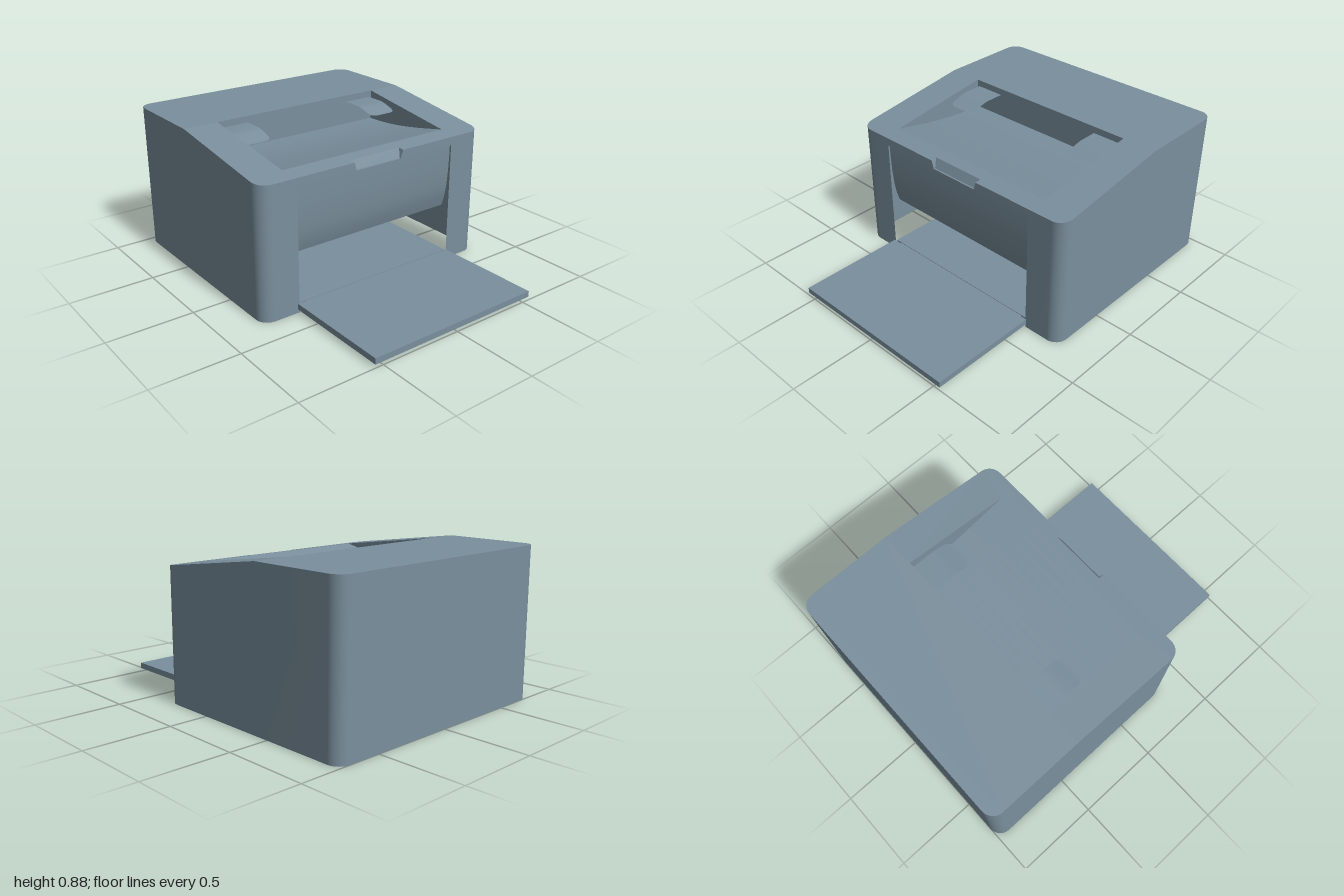
import * as THREE from 'three';

const W = 0.77, BACK = -1, FRONT = 0.345, R = 0.075;   // body footprint
const RIDGE = -0.42;                                   // where the roof starts to slope
const OPEN_X = 0.54, OPEN_Y = 0.73;                    // front opening
const REC_X = 0.56, REC_FRONT = 0.24;                  // recess in the roof
const GRIP_TOP = 0.17, GRIP_LOW = 0.155, GRIP_Z = 0.31;
const roofY = z => z <= RIDGE ? 0.885 : 0.885 - 0.107 * (z - RIDGE) / (FRONT - RIDGE);
const V = (x, y, z) => new THREE.Vector3(x, y, z);

export function createModel() {
  const group = new THREE.Group();
  const mat = new THREE.MeshStandardMaterial({ color: 0x7a8f9d, side: THREE.DoubleSide });

  function add(name, geo) {
    const mesh = new THREE.Mesh(geo, mat);
    mesh.name = name;
    group.add(mesh);
    return mesh;
  }

  // surface spanned between two polylines of equal length
  function strip(name, a, b) {
    const pos = [], idx = [];
    a.forEach((p, i) => {
      pos.push(p.x, p.y, p.z, b[i].x, b[i].y, b[i].z);
      if (i) { const k = 2 * i; idx.push(k - 2, k, k - 1, k, k + 1, k - 1); }
    });
    const geo = new THREE.BufferGeometry();
    geo.setAttribute('position', new THREE.Float32BufferAttribute(pos, 3));
    geo.setIndex(idx);
    geo.computeVertexNormals();
    return add(name, geo);
  }

  // [z, y] profile swept across x from -w to w
  const sheet = (name, profile, w) => strip(name,
    profile.map(([z, y]) => V(-w, y, z)), profile.map(([z, y]) => V(w, y, z)));

  const box = (name, x0, x1, y0, y1, z0, z1) => {
    const geo = new THREE.BoxGeometry(x1 - x0, y1 - y0, z1 - z0);
    geo.translate((x0 + x1) / 2, (y0 + y1) / 2, (z0 + z1) / 2);
    return add(name, geo);
  };

  // rounded corner as [x, z] points; angle measured from +x towards +z
  const corner = (cx, cz, from, to) => Array.from({ length: 9 }, (_, i) => {
    const t = from + (to - from) * i / 8;
    return [cx + R * Math.cos(t), cz + R * Math.sin(t)];
  });
  const H = Math.PI / 2;
  const frontRightCorner = corner(W - R, FRONT - R, H, 0);
  const backRightCorner = corner(W - R, BACK + R, 0, -H);
  const mirror = pts => pts.map(([x, z]) => [-x, z]).reverse();

  // outer shell, open below and at the front opening
  const half = [[OPEN_X, FRONT], ...frontRightCorner, [W, RIDGE], ...backRightCorner];
  const outline = [...half, ...mirror(half)];
  strip('bodyWalls', outline.map(([x, z]) => V(x, roofY(z), z)), outline.map(([x, z]) => V(x, 0, z)));

  // roof panels laid over the slope rule
  function roof(name, pts) {
    const geo = new THREE.ShapeGeometry(new THREE.Shape(pts.map(([x, z]) => new THREE.Vector2(x, -z))));
    const p = geo.attributes.position;
    for (let i = 0; i < p.count; i++) {
      const z = -p.getY(i);
      p.setXYZ(i, p.getX(i), roofY(z), z);
    }
    geo.computeVertexNormals();
    add(name, geo);
  }
  roof('flatRoof', [[W, RIDGE], ...backRightCorner, ...mirror(backRightCorner), [-W, RIDGE]]);
  const slopeHalf = [[GRIP_TOP, GRIP_Z], [GRIP_TOP, FRONT], ...frontRightCorner,
    [W, RIDGE], [REC_X, RIDGE], [REC_X, REC_FRONT]];
  roof('slopedRoof', [...slopeHalf, ...mirror(slopeHalf)]);

  // dished output recess in the roof
  const dish = Array.from({ length: 13 }, (_, i) => {
    const t = i / 12;
    return [REC_FRONT + (RIDGE - REC_FRONT) * t, roofY(REC_FRONT) - 0.09 * Math.sin(t * H)];
  });
  sheet('recessFloor', dish, REC_X);
  sheet('recessBackWall', [[RIDGE, 0.885], dish[12]], REC_X);

  for (const s of [-1, 1]) {
    strip('recessSideWall', dish.map(([z]) => V(s * REC_X, roofY(z), z)),
      dish.map(([z, y]) => V(s * REC_X, y, z)));

    // paper guide flap with rounded free corners
    const flap = [[RIDGE, 0.845, 0], [-0.30, 0.845, 0], [-0.26, 0.838, 0], [-0.20, 0.82, 0],
      [-0.18, 0.814, 0.006], [-0.167, 0.811, 0.018], [-0.16, 0.81, 0.035]];
    strip('paperFlap', flap.map(([z, y, r]) => V(s * 0.545 - s * r, y, z)),
      flap.map(([z, y, r]) => V(s * 0.36 + s * r, y, z)));

    // front strip above the opening, beside the finger grip
    strip('frontStrip',
      [V(s * GRIP_TOP, roofY(FRONT), FRONT), V(s * OPEN_X, roofY(FRONT), FRONT)],
      [V(s * GRIP_LOW, OPEN_Y, FRONT), V(s * OPEN_X, OPEN_Y, FRONT)]);

    // cheeks of the finger grip
    strip('gripCheek',
      [V(s * GRIP_TOP, roofY(GRIP_Z), GRIP_Z), V(s * GRIP_TOP, roofY(FRONT), FRONT)],
      [V(s * GRIP_LOW, OPEN_Y, 0.335), V(s * GRIP_LOW, OPEN_Y, FRONT)]);
  }
  strip('gripFace',
    [V(-GRIP_TOP, roofY(GRIP_Z), GRIP_Z), V(GRIP_TOP, roofY(GRIP_Z), GRIP_Z)],
    [V(-GRIP_LOW, OPEN_Y, 0.335), V(GRIP_LOW, OPEN_Y, 0.335)]);

  // curved front cover and its sloping underside
  sheet('coverLip', [[FRONT, OPEN_Y], [0.335, OPEN_Y]], OPEN_X);
  sheet('frontCover', [[0.335, OPEN_Y], [0.334, 0.65], [0.33, 0.56], [0.322, 0.47],
    [0.31, 0.4], [0.29, 0.335]], OPEN_X);
  sheet('coverUnderside', [[0.29, 0.335], [0.26, 0.322], [-0.4, 0.23]], OPEN_X);

  // paper tray: inner bed, back stop and folded-out front flap
  box('trayBed', -0.54, 0.54, 0.02, 0.053, -0.4, 0.335);
  box('trayFlap', -0.55, 0.545, 0.02, 0.055, 0.345, 1);
  box('trayHinge', -0.5, 0.5, 0.028, 0.05, 0.33, 0.35);
  box('trayBackStop', -0.55, 0.55, 0.02, 0.23, -0.41, -0.395);
  box('backStopLip', -0.55, 0.55, 0.22, 0.235, -0.45, -0.4);

  return group;
}
